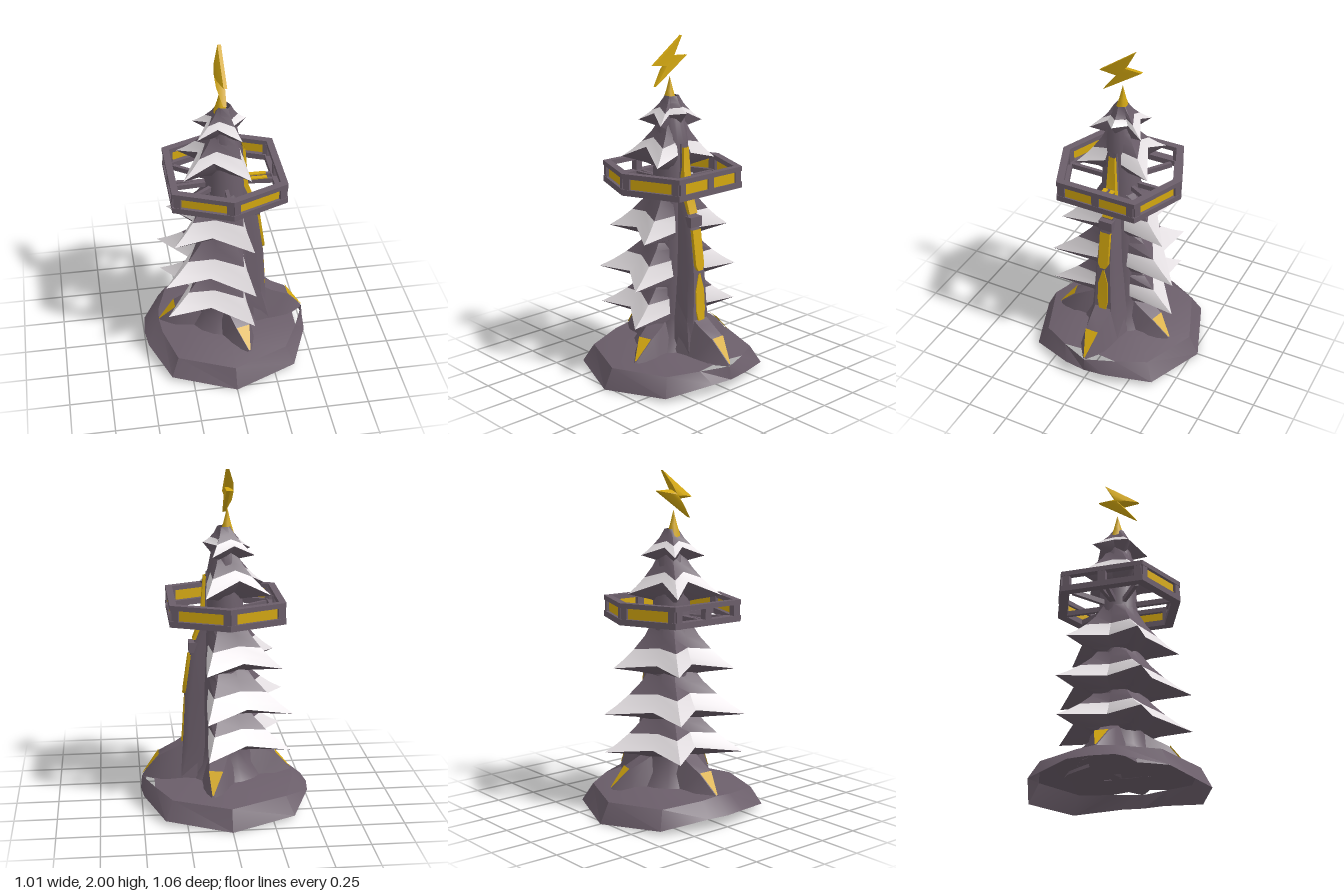
import * as THREE from 'three';
import { toCreasedNormals } from 'three/addons/utils/BufferGeometryUtils.js';

const material = (name, color) => {
  const m = new THREE.MeshStandardMaterial({ color, side: THREE.DoubleSide });
  m.name = name;
  return m;
};

export function createModel() {
  const model = new THREE.Group();
  model.name = 'pineTower';
  const bark = material('duskyBark', 0x6b5e6a);
  const gold = material('gold', 0xd4a810);
  const snow = material('snow', 0xe4dfe2);

  const add = (name, geometry, mat, parent = model) => {
    const mesh = new THREE.Mesh(geometry, mat);
    mesh.name = name;
    parent.add(mesh);
    return mesh;
  };
  const box = (name, mat, size, pos, parent = model) => {
    const mesh = add(name, new THREE.BoxGeometry(...size), mat, parent);
    mesh.position.set(...pos);
    return mesh;
  };
  // Skin between rows of [x, y, z] points
  const skin = (rows, crease = 0.6) => {
    const n = rows[0].length, index = [];
    for (let i = 0; i < rows.length - 1; i++) {
      for (let j = 0; j < n - 1; j++) {
        const a = i * n + j, b = a + 1, c = a + n, d = c + 1;
        index.push(a, b, c, b, d, c);
      }
    }
    const g = new THREE.BufferGeometry();
    g.setAttribute('position', new THREE.Float32BufferAttribute(rows.flat(2), 3));
    g.setIndex(index);
    return toCreasedNormals(g, crease);
  };

  // Hollow mound with a notch on the +x side
  const mirrorLoop = half => [...half, ...half.slice(1, -1).reverse().map(([x, z]) => [x, -z]), half[0]];
  const rim = mirrorLoop([[0.505, 0], [0.49, 0.13], [0.375, 0.39], [0, 0.53], [-0.375, 0.39], [-0.49, 0.13], [-0.505, 0]])
    .map(([x, z]) => [x, 0.07 * (1 - Math.max(0, Math.abs(z) - 0.13) / 0.4), z]);
  const ledge = mirrorLoop([[0.425, 0], [0.425, 0.17], [0.33, 0.34], [0, 0.47], [-0.33, 0.34], [-0.4, 0.11], [-0.41, 0]])
    .map(([x, z]) => [x, 0.16 - 0.09 * Math.abs(z), z]);
  const lip = ledge.map((p, i) => (i % 12 === 0 ? [0.497, 0.15, 0] : p));
  add('moundTop', skin([ledge.map(() => [0, 0.18, 0]), ledge.map(([x, , z]) => [x * 0.6, 0.172, z * 0.6]), ledge]), bark);
  add('moundRim', skin([lip, rim]), bark);

  // Trunk
  const trunk = [[0.23, 0.17], [0.18, 0.25], [0.155, 0.36], [0.14, 0.7], [0.115, 1.12], [0.1, 1.4], [0.06, 1.6], [0, 1.66]]
    .map(p => new THREE.Vector2(...p));
  add('trunk', new THREE.LatheGeometry(trunk, 16), bark);

  // Spine down the +x side: [y, outer x, half width]
  const spine = [[1.4, 0.105, 0.03], [1.13, 0.125, 0.045], [0.93, 0.195, 0.05], [0.65, 0.235, 0.06], [0.36, 0.25, 0.08], [0.16, 0.3, 0.11]];
  add('spine', skin(spine.map(([y, x, w]) => [
    [0, y, -w * 1.3], [x - 0.03, y, -w], [x, y, -w * 0.7], [x, y, w * 0.7], [x - 0.03, y, w], [0, y, w * 1.3]])), bark);
  const spineX = y => {
    const i = Math.max(1, spine.findIndex(s => s[0] <= y));
    const [a, b] = [spine[i - 1], spine[i]];
    return a[1] + (b[1] - a[1]) * (a[0] - y) / (a[0] - b[0]);
  };
  // Gold inlays on the spine: [y, half width]
  [
    [[1.38, 0.022], [1.13, 0.036], [1.0, 0.036]],
    [[0.91, 0.037], [0.7, 0.037], [0.67, 0.02]],
    [[0.65, 0.006], [0.55, 0.037], [0.43, 0.04], [0.33, 0.018]],
  ].forEach((rows, k) => add('spineInlay' + (k + 1), skin(rows.map(([y, w]) => {
    const x = spineX(y), out = k < 2 ? 0.016 : 0.004;
    return [[x - 0.01, y, -w], [x + out, y, -w * 0.85], [x + out, y, w * 0.85], [x - 0.01, y, w]];
  })), gold));
  box('spineJoint', bark, [0.05, 0.06, 0.085], [0.185, 0.955, 0]);

  // Roots with gold claws: [reach, top y, top half width, base half width]
  const root = (angle, shift, lift) => {
    const g = new THREE.Group();
    g.name = 'root';
    g.rotation.y = angle;
    model.add(g);
    const st = [[0.08, 0.4, 0.05, 0.14], [0.2, 0.32, 0.05, 0.11], [0.3, 0.27, 0.042, 0.08], [0.4, 0.16, 0.004, 0.01]]
      .map(([r, y, a, b], i) => [r + shift, y + (i < 3 ? lift : 0), a, b]);
    add('rootBody', skin(st.map(([r, y, a, b]) =>
      [[r, 0.15, -b], [r, y, -a], [r, y, a], [r, 0.15, b], [r, 0.15, -b]])), bark, g);
    add('claw', skin(st.slice(2).map(([r, y, a]) => [[r + 0.005, y + 0.005, -a], [r + 0.005, y + 0.005, a]])), gold, g);
  };
  root(0, 0.09, 0.025);
  root(Math.PI, 0.005, 0.005);
  root(-1.31, -0.015, 0);
  root(1.31, -0.015, 0);

  // Snowy branch tiers: star plan, open toward the spine unless a front tip is given
  const tier = (name, { y, h, left, leftZ, right, rightZ, lift, core, tipX }) => {
    const half = [[right, rightZ, 0], [left * 0.3, rightZ * 0.58, 1], [left, leftZ, 0]];
    const end = tipX ? [[tipX, 0, -0.6], [right * 0.6, rightZ * 0.4, 1]] : [[right * 0.85, rightZ * 0.22, 0.6]];
    const front = [...end, ...half];
    const plan = [...front, [left * 0.58, 0, 1], ...front.map(([x, z, v]) => [x, -z, v]).reverse()];
    const ring = (f, dy) => plan.map(([x, z, v]) => {
      const l = Math.hypot(x, z), cx = x / l * core, cz = z / l * core;
      const raise = v < 0 ? 0.06 : v * lift;
      return [cx + (x - cx) * f, y + dy + raise * Math.max(f, 0), cz + (z - cz) * f];
    });
    const g = new THREE.Group();
    g.name = name;
    model.add(g);
    const line = ring(0.48, h * 0.4);
    add('branches', skin([ring(0, h), ring(0.22, h * 0.67), line]), bark, g);
    add('snowCover', skin([line, ring(0.74, h * 0.18), ring(1, 0)]), snow, g);
    add('underside', skin([ring(1, 0), ring(0.35, -0.03), ring(0, -0.05)]), bark, g);
  };
  tier('tier1', { y: 0.375, h: 0.25, left: -0.37, leftZ: 0.24, right: 0.125, rightZ: 0.4, lift: 0.03, core: 0.13 });
  tier('tier2', { y: 0.6, h: 0.27, left: -0.38, leftZ: 0.245, right: 0.13, rightZ: 0.4, lift: 0.03, core: 0.12 });
  tier('tier3', { y: 0.865, h: 0.27, left: -0.32, leftZ: 0.21, right: 0.13, rightZ: 0.33, lift: 0.03, core: 0.11 });
  tier('tier4', { y: 1.29, h: 0.24, left: -0.255, leftZ: 0.165, right: 0.125, rightZ: 0.225, lift: 0.08, core: 0.07 });
  tier('tier5', { y: 1.515, h: 0.15, left: -0.165, leftZ: 0.11, right: 0.08, rightZ: 0.16, lift: 0.05, core: 0.04, tipX: 0.125 });

  // Gold spire
  const spire = new THREE.LatheGeometry([[0.055, 1.57], [0.042, 1.63], [0.022, 1.69], [0, 1.775]].map(p => new THREE.Vector2(...p)), 6);
  add('spire', spire, gold).position.x = -0.018;

  // Lightning bolt: outline [z, y] with a raised centre on -x
  const bolt = [[-0.08, 2], [0.135, 1.845], [0.035, 1.835], [0.12, 1.725], [-0.12, 1.885], [-0.02, 1.89], [-0.08, 2]];
  const at = (x, s) => bolt.map(([z, y]) => [x, 1.862 + (y - 1.862) * s, z * s]);
  add('bolt', skin([at(-0.055, 0), at(-0.05, 0.4), at(-0.022, 1), at(-0.002, 1), at(0, 0)]), gold);

  // Hexagonal gallery: rails, posts and panels
  const gallery = new THREE.Group();
  gallery.name = 'gallery';
  model.add(gallery);
  const hex = [[0, 0.38], [0.33, 0.245], [0.33, -0.245], [0, -0.38], [-0.33, -0.245], [-0.33, 0.245]];
  const points = s => hex.map(([x, z]) => new THREE.Vector2(x * s, z * s));
  const rail = (name, y, depth, inner) => {
    const shape = new THREE.Shape(points(1));
    shape.holes.push(new THREE.Path(points(inner)));
    const g = new THREE.ExtrudeGeometry(shape, { depth, bevelEnabled: false });
    g.rotateX(-Math.PI / 2);
    add(name, g, bark, gallery).position.y = y;
  };
  rail('lowerRail', 1.14, 0.035, 0.85);
  rail('upperRail', 1.238, 0.028, 0.88);
  hex.forEach(([x0, z0], i) => {
    const [x1, z1] = hex[(i + 1) % 6], s = 0.935;
    const side = new THREE.Group();
    side.name = 'gallerySide';
    side.position.set((x0 + x1) / 2 * s, 1.207, (z0 + z1) / 2 * s);
    side.rotation.y = Math.atan2(x0 + x1, z0 + z1);
    if (i % 3 === 1) side.rotation.y = i === 1 ? Math.PI / 2 : -Math.PI / 2;
    else side.rotation.y = Math.atan2(-(z1 - z0), x1 - x0);
    gallery.add(side);
    const len = Math.hypot(x1 - x0, z1 - z0) * s;
    for (const e of [-1, 1]) box('post', bark, [0.04, 0.075, 0.04], [e * (len / 2 - 0.015), 0, 0], side);
    if (i % 3 === 1) {
      box('middlePost', bark, [0.045, 0.075, 0.04], [0, 0, 0], side);
      if (i === 1) for (const e of [-1, 1]) box('panel', gold, [len / 2 - 0.04, 0.07, 0.008], [e * len / 4, 0, 0.008], side);
    } else box('panel', gold, [len - 0.05, 0.07, 0.008], [0, 0, 0], side);
  });

  // Struts from trunk to gallery
  [[0, 0.34], [0, -0.34], [0.3, 0.03], [0.3, -0.03], [-0.3, 0.02], [-0.3, -0.02], [0.15, -0.29], [-0.28, 0.2], [-0.28, -0.2]].forEach(([x, z]) => {
    const l = Math.hypot(x, z);
    const b = box('strut', bark, [l - 0.05, 0.03, 0.022], [x * 0.53, 1.157, z * 0.53], gallery);
    b.rotation.y = -Math.atan2(z, x);
  });
  for (const e of [-1, 1]) box('strutInlay', gold, [0.1, 0.008, 0.025], [0.2, 1.176, e * 0.022], gallery);

  return model;
}
